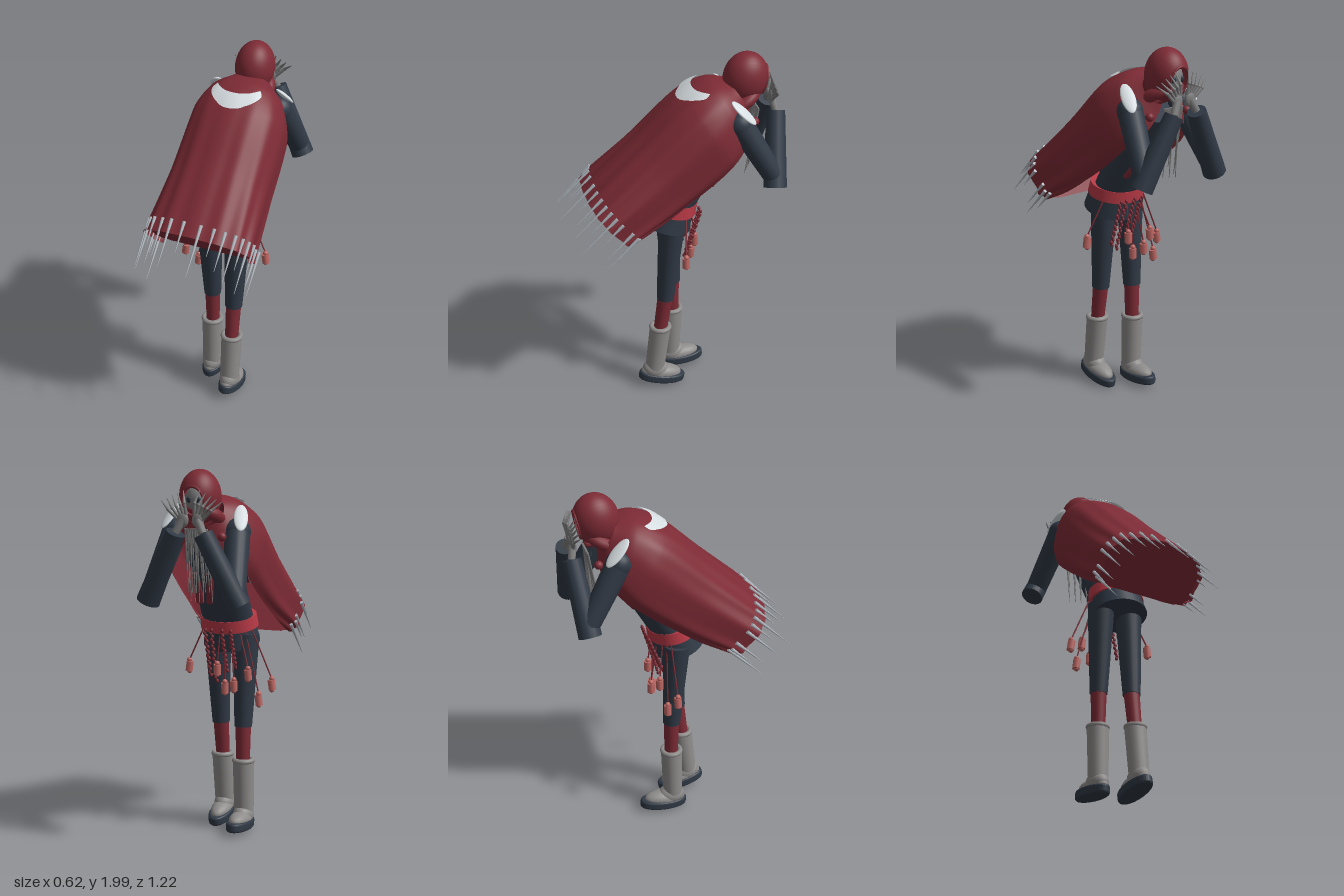
import * as THREE from 'three';

const mat = (name, color, side = THREE.FrontSide) => {
  const m = new THREE.MeshStandardMaterial({ color, side });
  m.name = name;
  return m;
};
const M = {
  red: mat('cloak red', 0x7d2b35, THREE.DoubleSide),
  belt: mat('belt red', 0xb93a46),
  navy: mat('dark navy', 0x303945, THREE.DoubleSide),
  boot: mat('boot grey', 0x8e8c8b),
  white: mat('pale trim', 0xd6dde0, THREE.DoubleSide),
  ice: mat('fringe grey', 0xb0b7be),
  skin: mat('hand grey', 0x7d7c7c),
  pink: mat('charm pink', 0xbe6763),
};
const V = (x, y, z) => new THREE.Vector3(x, y, z);
const UP = V(0, 1, 0);

function add(parent, name, geo, material, pos = V(0, 0, 0)) {
  const m = new THREE.Mesh(geo, material);
  m.name = name;
  m.position.copy(pos);
  parent.add(m);
  return m;
}
// tapered cylinder from a to b
function limb(parent, name, a, b, ra, rb, material, seg = 20) {
  const d = b.clone().sub(a);
  const m = add(parent, name, new THREE.CylinderGeometry(rb, ra, d.length(), seg), material, a.clone().add(b).multiplyScalar(0.5));
  m.quaternion.setFromUnitVectors(UP, d.normalize());
  return m;
}
function ball(parent, name, p, r, material, sx = 1, sy = 1, sz = 1) {
  const m = add(parent, name, new THREE.SphereGeometry(r, 24, 16), material, p);
  m.scale.set(sx, sy, sz);
  return m;
}

// cloak stations from neck to hem: ridge line, underside line, half width and wrap angle
const line = pts => new THREE.CatmullRomCurve3(pts.map(p => V(...p)));
const ridge = line([[0, 1.85, -0.33], [0, 1.86, -0.22], [0, 1.8, -0.08], [0, 1.56, 0.18], [0, 1.3, 0.46]]);
const under = line([[0, 1.71, -0.43], [0, 1.54, -0.43], [0, 1.4, -0.34], [0, 1.22, -0.07], [0, 1.07, 0.255]]);
const sizes = line([[0.11, 2.9, 0], [0.205, 2.5, 0], [0.26, 2.3, 0], [0.27, 2.35, 0], [0.295, 2.65, 0]]);
const sp = (x, e) => Math.sign(x) * Math.pow(Math.abs(x), e);
function cloakAt(theta, v, grow = 1) {
  const a = ridge.getPoint(v), b = under.getPoint(v), w = sizes.getPoint(v).x;
  const fold = grow * (1 + 0.025 * v * v * Math.cos(13 * theta + Math.sin(theta * 2)));
  // the lower half squares off towards the hem
  const low = Math.cos(theta) < 0 ? v * v : 0;
  const p = a.clone().add(b).multiplyScalar(0.5).addScaledVector(a.sub(b), 0.5 * fold * sp(Math.cos(theta), 0.85 - 0.4 * low));
  p.x = w * fold * sp(Math.sin(theta), 0.85 - 0.6 * low);
  return p;
}
// grid surface from a rule on u (-1..1) and v (0..1)
function sheet(fn, nu, nv) {
  const g = new THREE.PlaneGeometry(2, 1, nu, nv), p = g.attributes.position;
  for (let i = 0; i < p.count; i++) {
    const q = fn(p.getX(i), 0.5 - p.getY(i));
    p.setXYZ(i, q.x, q.y, q.z);
  }
  g.computeVertexNormals();
  return g;
}

function buildCloak(root) {
  const g = new THREE.Group();
  g.name = 'cloak';
  root.add(g);
  add(g, 'cloakCloth', sheet((u, v) => cloakAt(u * sizes.getPoint(v).y, v), 96, 32), M.red);
  // cloth closing the hem behind the body
  add(g, 'hemLining', sheet((u, v) => {
    const q = cloakAt(0.05 + v * 2.8, 0.98);
    q.x *= u;
    return q;
  }, 12, 24), M.red);
  // pale crescent on the upper back
  add(g, 'backCrescent', sheet((u, v) => {
    const half = 0.062 * (1 - 0.2 * u ** 4);
    return cloakAt(u * 0.54 * (0.9 + 0.1 * Math.sin(v * Math.PI)), 0.465 - 0.11 * u * u + (v - 0.5) * 2 * half, 1.045);
  }, 28, 8), M.white);
  // icicle fringe along the hem
  const dir = V(0, -0.7, 0.72).normalize();
  for (let i = 0; i < 20; i++) {
    const base = cloakAt(-2.2 + i * 4.4 / 19, 0.95, 1.02);
    const len = [0.28, 0.15, 0.21, 0.25, 0.17][i % 5];
    limb(g, 'fringeSpike', base, base.clone().addScaledVector(dir, len), 0.01, 0.001, M.ice, 8);
  }
}

function buildHead(root) {
  const g = new THREE.Group();
  g.name = 'head';
  g.position.set(0, 1.86, -0.42);
  g.rotation.x = -0.2;
  root.add(g);
  // hood open towards the face
  const hood = new THREE.SphereGeometry(1, 36, 24, 0, Math.PI * 2, 0.58, Math.PI - 0.58);
  hood.rotateX(-Math.PI / 2).scale(0.106, 0.14, 0.12);
  add(g, 'hood', hood, M.red);
  const rim = add(g, 'hoodRim', new THREE.TorusGeometry(0.058, 0.006, 10, 32), M.red, V(0, 0, -0.1));
  rim.scale.y = 1.32;
  ball(g, 'face', V(0, -0.01, -0.035), 0.066, M.skin, 0.95, 1.25, 0.95);
  for (const s of [-1, 1]) ball(g, 'eye', V(s * 0.026, 0.005, -0.09), 0.014, M.navy, 1, 1.2, 0.6);
  // neck wrap
  const wrap = add(root, 'neckWrap', new THREE.TorusGeometry(0.09, 0.033, 12, 32), M.red, V(0, 1.75, -0.39));
  wrap.rotation.x = Math.PI / 2 + 0.5;
  // hanging strands below the face
  for (let i = 0; i < 14; i++) {
    const x = -0.058 + i * 0.009;
    limb(root, 'strand', V(x, 1.7, -0.48), V(x * 1.1, 1.32 + 0.05 * (i % 3), -0.415 - 0.016 * (i % 4)), 0.006, 0.002, M.skin, 6);
  }
  // chest ribbons
  for (const s of [-1, 1]) {
    ball(root, 'ribbonKnot', V(s * 0.125, 1.66, -0.44), 0.023, M.red);
    const r = limb(root, 'ribbon', V(s * 0.04 + 0.02, 1.46, -0.35), V(s * 0.03 + 0.06, 1.29, -0.215), 0.011, 0.015, M.red, 8);
    r.scale.x = 1.5;
  }
}

function buildArm(root, s) {
  const g = new THREE.Group();
  g.name = s > 0 ? 'leftArm' : 'rightArm';
  root.add(g);
  const shoulder = V(s * 0.172, 1.68, -0.345), elbow = V(s * 0.228, 1.37, -0.53), wrist = V(s * 0.075, 1.685, -0.568);
  ball(g, 'shoulder', shoulder, 0.07, M.navy);
  limb(g, 'upperSleeve', shoulder, elbow, 0.068, 0.057, M.navy);
  const drop = elbow.clone().add(elbow.clone().sub(wrist).multiplyScalar(0.15));
  limb(g, 'foreSleeve', drop, wrist, 0.062, 0.05, M.navy);
  // pale shoulder plate
  const plate = ball(g, 'shoulderPlate', V(s * 0.196, 1.752, -0.357), 1, M.white, 0.037, 0.088, 0.013);
  const along = V(s * 0.22, -0.68, -0.68).normalize(), out = V(s * 0.42, 0.72, -0.55);
  out.addScaledVector(along, -out.dot(along)).normalize();
  plate.quaternion.setFromRotationMatrix(new THREE.Matrix4().makeBasis(along.clone().cross(out), along, out));
  // bony hand in front of the face
  const palm = V(s * 0.042, 1.75, -0.553);
  limb(g, 'wrist', wrist, palm, 0.02, 0.022, M.skin, 10);
  ball(g, 'palm', palm, 0.034, M.skin, 0.95, 1.2, 0.5);
  for (let i = 0; i < 5; i++) {
    const knuckle = V(s * (0.022 + 0.011 * i), 1.775 - 0.006 * i, -0.553);
    const mid = V(s * (0.028 + 0.022 * i), 1.835 - 0.009 * i, -0.562);
    const tip = V(s * (0.045 + 0.03 * i), 1.897 - 0.014 * i, -0.535);
    limb(g, 'finger', knuckle, mid, 0.01, 0.008, M.skin, 8);
    ball(g, 'knuckle', mid, 0.009, M.skin);
    limb(g, 'fingertip', mid, tip, 0.008, 0.002, M.skin, 8);
  }
}

// x position, depth of hip, knee, boot top and ankle, sole height and pitch
function buildLeg(root, name, x, [hip, knee, top, ankle], footZ, footY, pitch) {
  const g = new THREE.Group();
  g.name = name;
  root.add(g);
  const kx = x * 0.97;
  limb(g, 'trouserLeg', V(kx, 0.59, knee), V(x * 1.02, 1.1, hip), 0.048, 0.074, M.navy);
  limb(g, 'stocking', V(kx, 0.38, top), V(kx, 0.6, knee), 0.037, 0.043, M.red);
  limb(g, 'bootShaft', V(x, 0.11, ankle), V(x, 0.4, top), 0.054, 0.059, M.boot);
  const cuff = add(g, 'bootCuff', new THREE.TorusGeometry(0.05, 0.014, 10, 28), M.boot, V(x, 0.4, top));
  cuff.rotation.x = Math.PI / 2;
  const foot = new THREE.Group();
  foot.name = 'foot';
  foot.position.set(x, footY, footZ);
  foot.rotation.x = pitch;
  g.add(foot);
  const outline = new THREE.Shape().absellipse(0, 0, 0.052, 0.123, 0, Math.PI * 2);
  const sole = new THREE.ExtrudeGeometry(outline, { depth: 0.026, bevelSize: 0.012, bevelThickness: 0.012, bevelSegments: 3, curveSegments: 28 });
  add(foot, 'sole', sole.rotateX(-Math.PI / 2), M.navy, V(0, 0.012, 0));
  ball(foot, 'footUpper', V(0, 0.052, 0.008), 1, M.boot, 0.056, 0.045, 0.118);
  ball(foot, 'instep', V(0, 0.07, 0.045), 1, M.boot, 0.056, 0.058, 0.075);
}

function buildCharms(root) {
  const charms = [[-0.26, 0.87, -0.06], [-0.2, 0.79, -0.1], [0.225, 0.94, -0.05], [-0.15, 0.93, -0.13],
    [-0.08, 0.87, -0.16], [0.02, 0.95, -0.15], [-0.02, 0.85, -0.14]];
  for (const [x, y, z] of charms) {
    const g = new THREE.Group();
    g.name = 'beltCharm';
    root.add(g);
    const a = V(x * 0.55, 1.14, -0.13 + Math.abs(x) * 0.25), b = V(x, y, z);
    limb(g, 'cord', a, b, 0.004, 0.004, M.red, 6);
    ball(g, 'charmCap', b, 0.014, M.pink);
    const body = add(g, 'charmBody', new THREE.CylinderGeometry(0.021, 0.021, 0.055, 8), M.pink, V(x, y - 0.035, z));
    body.rotation.z = x * 0.6;
    ball(g, 'charmFoot', V(x, y - 0.062, z), 0.014, M.pink);
  }
  // braided sash ends
  for (const [x, end] of [[-0.06, 0.92], [-0.01, 0.9], [0.05, 0.84], [0.085, 0.87]]) {
    for (let i = 0; i < 17; i++) {
      const t = i / 16;
      ball(root, 'braid', V(x + 0.004 * (i % 2 ? 1 : -1), 1.13 + (end - 1.13) * t, -0.165 + 0.08 * t), 0.0085, M.red, 1, 1.35, 1);
    }
  }
}

export function createModel() {
  const root = new THREE.Group();
  root.name = 'cloakedFigure';
  // torso, skirt and belt
  limb(root, 'torso', V(0, 1.13, -0.01), V(0, 1.66, -0.32), 0.106, 0.1, M.navy, 28).scale.x = 1.35;
  const skirt = add(root, 'tunicSkirt', new THREE.CylinderGeometry(0.128, 0.145, 0.12, 28), M.navy, V(0, 1.105, 0));
  skirt.rotation.x = -0.28;
  skirt.scale.x = 1.08;
  const belt = add(root, 'belt', new THREE.CylinderGeometry(0.132, 0.138, 0.066, 32), M.belt, V(0, 1.172, -0.025));
  belt.rotation.x = -0.22;
  belt.scale.x = 1.16;
  buildCloak(root);
  buildHead(root);
  for (const s of [-1, 1]) buildArm(root, s);
  buildLeg(root, 'leftLeg', 0.072, [-0.01, 0.028, 0.058, 0.092], 0.056, 0.035, -0.2);
  buildLeg(root, 'rightLeg', -0.094, [-0.02, -0.048, -0.05, -0.042], -0.1, 0.026, 0.06);
  buildCharms(root);
  return root;
}
